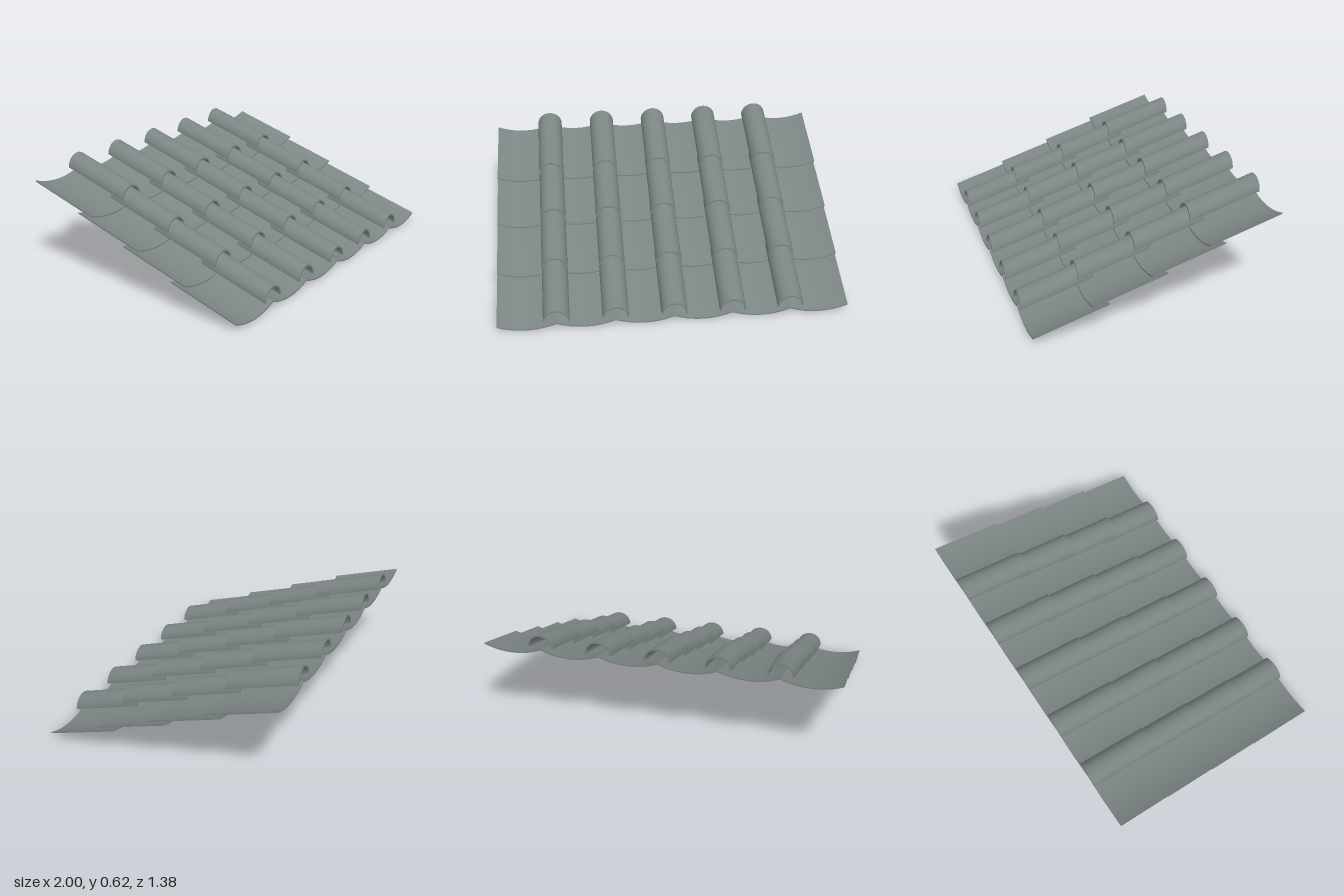
import * as THREE from 'three';
import { toCreasedNormals } from 'three/addons/utils/BufferGeometryUtils.js';

const COLS = 6, ROWS = 4;
const PITCH = 2 / COLS;          // width of one pan tile
const LENGTH = 0.413;            // run of one tile along z
const SLOPE = 0.3;
const FRONT = 0.69;
const STEP_Z = (2 * FRONT - LENGTH) / (ROWS - 1);
const STEP_Y = 0.1225;

// Extrudes a cross-section and shears it so the ends stay vertical
function slopedTile(shape) {
  const geo = new THREE.ExtrudeGeometry(shape, { depth: LENGTH, bevelEnabled: false, curveSegments: 20 });
  geo.applyMatrix4(new THREE.Matrix4().set(
    1, 0, 0, 0,
    0, 1, -SLOPE, SLOPE * LENGTH,
    0, 0, 1, -LENGTH,
    0, 0, 0, 1));
  return toCreasedNormals(geo, 0.6);
}

// Shallow concave pan: one arc below, the same arc raised above
function panShape() {
  const half = PITCH / 2, sag = 0.033, thick = 0.008, n = 16;
  const r = (half * half + sag * sag) / (2 * sag);
  const curve = (x) => r - Math.sqrt(r * r - x * x);
  const pts = [];
  for (let i = 0; i <= n; i++) {
    const x = -half + (PITCH * i) / n;
    pts.push(new THREE.Vector2(x, curve(x)));
  }
  for (let i = n; i >= 0; i--) pts.push(new THREE.Vector2(pts[i].x, pts[i].y + thick));
  return new THREE.Shape(pts);
}

// Half-round cover tile
function coverShape() {
  const outer = 0.075, inner = 0.065, y = 0.052;
  const s = new THREE.Shape();
  s.absarc(0, y, outer, 0, Math.PI, false);
  s.absarc(0, y, inner, Math.PI, 0, true);
  s.closePath();
  return s;
}

export function createModel() {
  const roof = new THREE.Group();
  roof.name = 'tiledRoof';
  const slate = new THREE.MeshStandardMaterial({ color: 0x7b8583 });
  slate.name = 'slate grey';

  const panGeo = slopedTile(panShape());
  const coverGeo = slopedTile(coverShape());

  for (let row = 0; row < ROWS; row++) {
    const course = new THREE.Group();
    course.name = `tileCourse${row + 1}`;
    course.position.set(0, row * STEP_Y, FRONT - row * STEP_Z);

    const add = (geo, name, x) => {
      const mesh = new THREE.Mesh(geo, slate);
      mesh.name = name;
      mesh.position.x = x;
      course.add(mesh);
    };
    for (let c = 0; c < COLS; c++) add(panGeo, 'panTile', -1 + (c + 0.5) * PITCH);
    // Covers sit over the joints between pans
    for (let c = 1; c < COLS; c++) add(coverGeo, 'coverTile', -1 + c * PITCH);
    roof.add(course);
  }
  return roof;
}
